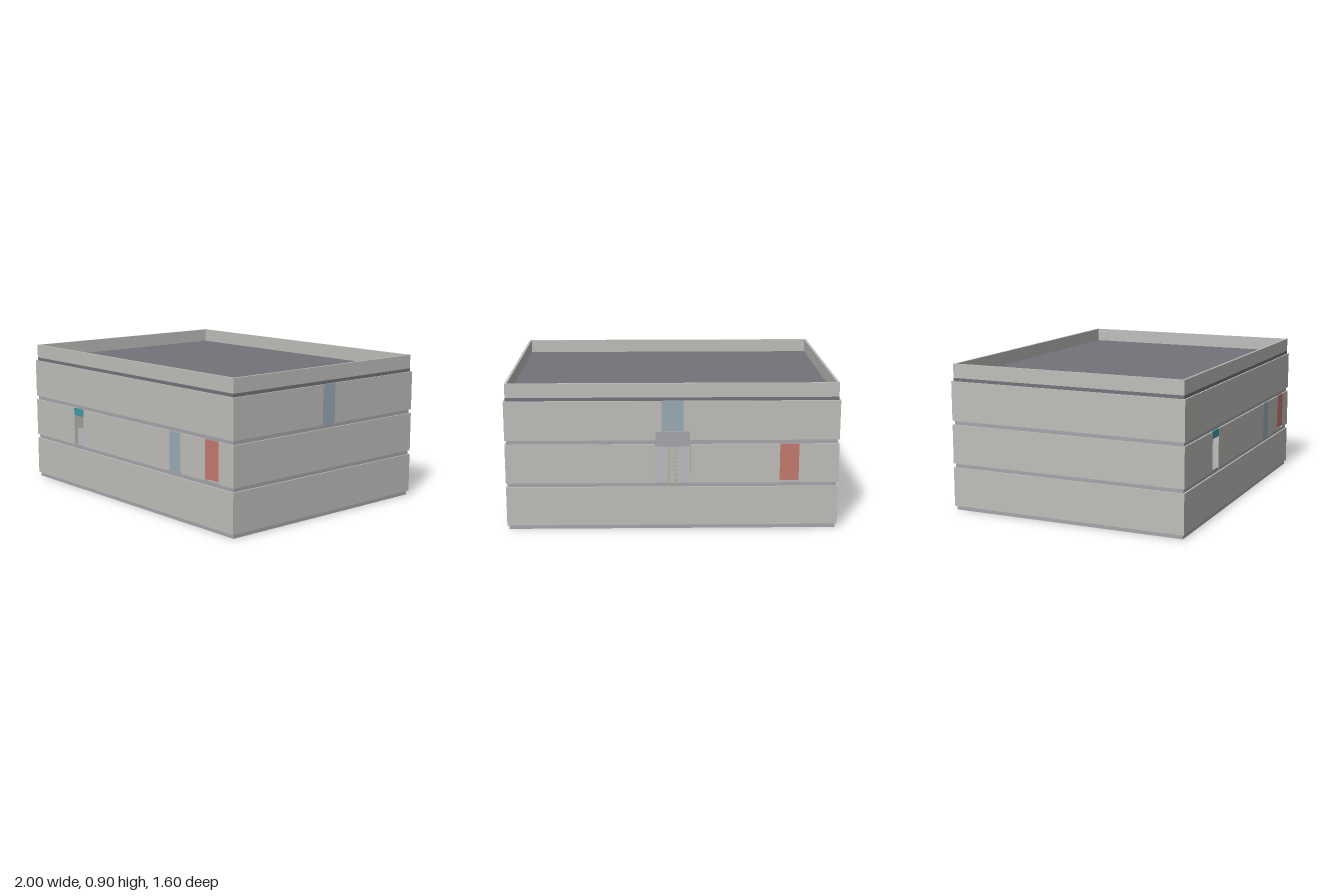
import * as THREE from 'three';

const COLORS = {
  wall: 0xc0bebb, slab: 0xa7a6ab, roof: 0x74737a, glass: 0x9aacb5,
  red: 0xc47a70, teal: 0x3d9ba6, ladder: 0xb5b398,
};
const materials = {};
for (const key in COLORS) materials[key] = new THREE.MeshStandardMaterial({ color: COLORS[key] });

// Building limits
const X = 1, Z0 = -0.7, Z1 = 0.8, T = 0.025, INSET = 0.01, STOREY = 0.24, FLOOR = 0.025;

// Box given by its minimum and maximum on each axis
function box(parent, name, mat, x0, x1, y0, y1, z0, z1) {
  const mesh = new THREE.Mesh(new THREE.BoxGeometry(x1 - x0, y1 - y0, z1 - z0), materials[mat]);
  mesh.position.set((x0 + x1) / 2, (y0 + y1) / 2, (z0 + z1) / 2);
  mesh.name = name;
  parent.add(mesh);
}

// Wall split by full-height openings; each opening may hold a flush panel
// starting at height "from" above the floor
function wall(parent, side, y, openings = []) {
  const alongX = side === 'front' || side === 'back';
  const [a, b] = alongX ? [-X, X] : [Z0 + T, Z1 - T];
  const outer = { front: Z1, back: Z0, right: -X, left: X }[side];
  const inward = side === 'front' || side === 'left' ? -1 : 1;
  const piece = (name, mat, p, q, y0, y1, depth) => {
    const d0 = Math.min(outer, outer + inward * depth);
    const d1 = Math.max(outer, outer + inward * depth);
    if (alongX) box(parent, name, mat, p, q, y0, y1, d0, d1);
    else box(parent, name, mat, d0, d1, y0, y1, p, q);
  };
  let start = a;
  for (const o of openings) {
    piece(side + 'Wall', 'wall', start, o.min, y, y + STOREY, T);
    if (o.name) piece(o.name, o.mat, o.min, o.max, y + o.from, y + STOREY, 0.012);
    start = o.max;
  }
  piece(side + 'Wall', 'wall', start, b, y, y + STOREY, T);
}

export function createModel() {
  const model = new THREE.Group();
  model.name = 'building';

  // Openings per storey and side, sorted along the wall
  const openings = [
    {},
    {
      front: [
        { min: -0.55, max: -0.445, name: 'tealShutter', mat: 'teal', from: 0.195 },
        { min: 0.44, max: 0.54, name: 'frontWindow', mat: 'glass', from: 0 },
        { min: 0.76, max: 0.875, name: 'frontRedDoor', mat: 'red', from: 0.013 },
      ],
      back: [
        { min: -0.76, max: -0.645, name: 'backRedDoor', mat: 'red', from: 0.013 },
        { min: -0.11, max: 0.11 },
      ],
    },
    {
      back: [{ min: -0.065, max: 0.065, name: 'balconyWindow', mat: 'glass', from: 0 }],
      left: [{ min: 0, max: 0.1, name: 'sideWindow', mat: 'glass', from: 0 }],
    },
  ];

  // Hollow storeys, each on a recessed floor slab
  openings.forEach((sides, i) => {
    const storey = new THREE.Group();
    storey.name = 'storey' + (i + 1);
    const y = i * (STOREY + FLOOR);
    box(storey, 'floorSlab', 'slab', -X + INSET, X - INSET, y, y + FLOOR, Z0 + INSET, Z1 - INSET);
    for (const side of ['front', 'back', 'left', 'right']) wall(storey, side, y + FLOOR, sides[side]);
    model.add(storey);
  });

  // Dark roof slab
  const roofY = 3 * (STOREY + FLOOR), roofTop = roofY + 0.02;
  box(model, 'roofSlab', 'roof', -X + INSET, X - INSET, roofY, roofTop, Z0 + INSET, Z1 - INSET);

  // Parapet ring
  const x1 = X - INSET, z0 = Z0 + INSET, z1 = Z1 - INSET, t = 0.015;
  box(model, 'frontParapet', 'wall', -x1, x1, roofTop, 0.9, z1 - t, z1);
  box(model, 'backParapet', 'wall', -x1, x1, roofTop, 0.9, z0, z0 + t);
  box(model, 'leftParapet', 'wall', x1 - t, x1, roofTop, 0.9, z0 + t, z1 - t);
  box(model, 'rightParapet', 'wall', -x1, -x1 + t, roofTop, 0.9, z0 + t, z1 - t);

  // Rear balcony: platform and outer guard panel
  const balcony = new THREE.Group();
  balcony.name = 'balcony';
  box(balcony, 'platform', 'slab', -0.1, 0.1, 0.547, 0.555, -0.804, Z0 + INSET);
  box(balcony, 'guardPanel', 'slab', -0.1, 0.1, 0.555, 0.635, -0.804, -0.8);
  model.add(balcony);

  // Ladder under the balcony
  const ladder = new THREE.Group();
  ladder.name = 'ladder';
  for (const s of [-1, 1]) {
    box(ladder, 'ladderRail', 'ladder', s * 0.023 - 0.004, s * 0.023 + 0.004, 0.29, 0.547, -0.75, -0.742);
  }
  for (let i = 0; i < 10; i++) {
    const y = 0.303 + i * 0.025;
    box(ladder, 'ladderRung', 'ladder', -0.019, 0.019, y, y + 0.006, -0.749, -0.743);
  }
  model.add(ladder);

  return model;
}
